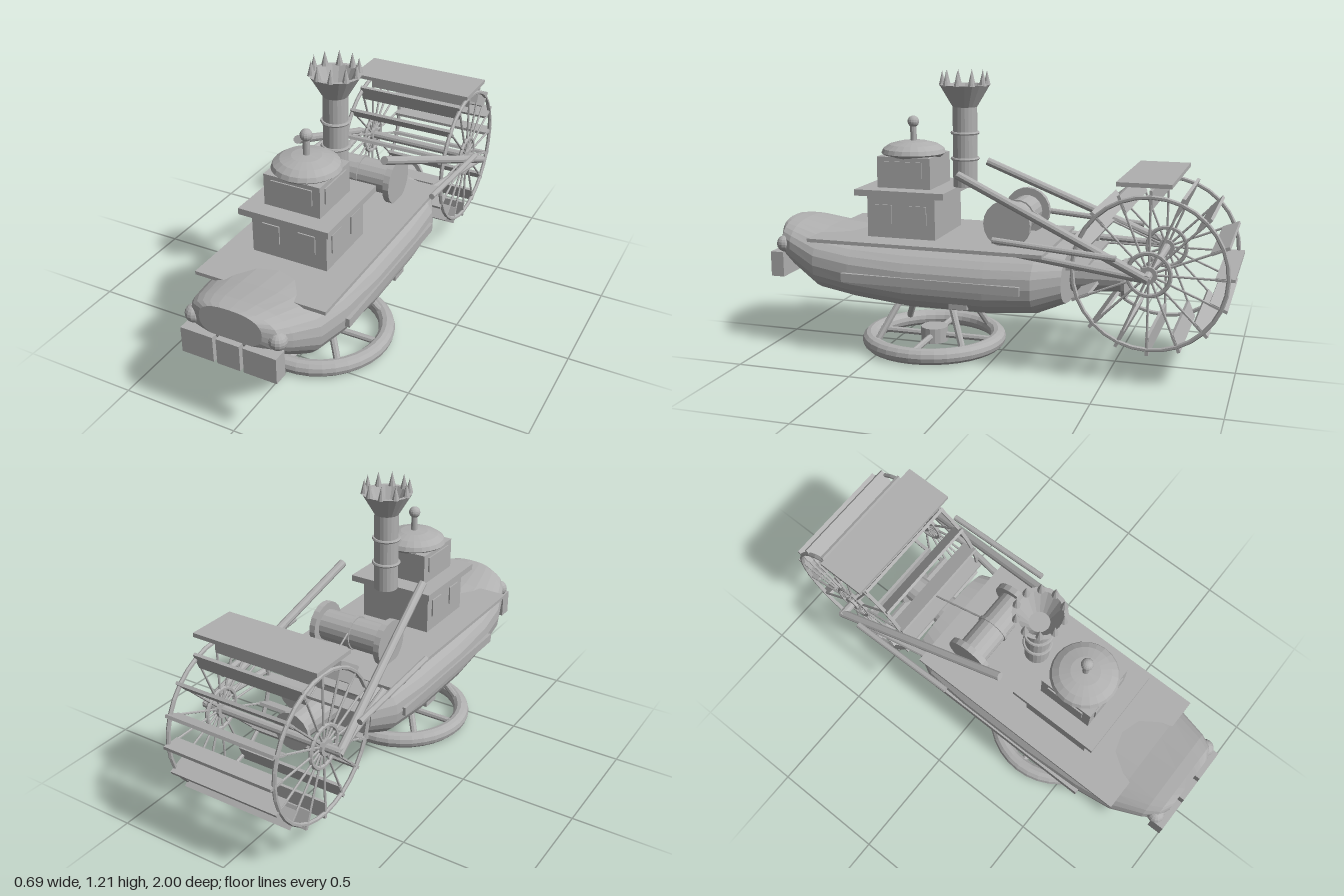
import * as THREE from 'three';

const grey = new THREE.MeshStandardMaterial({ color: 0xb0b0b0, flatShading: true, side: THREE.DoubleSide });
const V = (x, y, z) => new THREE.Vector3(x, y, z);

function add(parent, name, geo, x = 0, y = 0, z = 0) {
  const m = new THREE.Mesh(geo, grey);
  m.name = name;
  m.position.set(x, y, z);
  parent.add(m);
  return m;
}
// box given by its min/max corners
function box(parent, name, x0, x1, y0, y1, z0, z1) {
  return add(parent, name, new THREE.BoxGeometry(x1 - x0, y1 - y0, z1 - z0),
    (x0 + x1) / 2, (y0 + y1) / 2, (z0 + z1) / 2);
}
// round bar between two points
function rod(parent, name, a, b, r, sides = 8) {
  const d = b.clone().sub(a);
  const m = add(parent, name, new THREE.CylinderGeometry(r, r, d.length(), sides));
  m.position.copy(a).addScaledVector(d, 0.5);
  m.quaternion.setFromUnitVectors(V(0, 1, 0), d.normalize());
  return m;
}
const lathe = (pts, n = 20) => new THREE.LatheGeometry(pts.map(p => new THREE.Vector2(p[0], p[1])), n);

// hull skin lofted through superellipse sections: z, bottom, top, half width
function hullGeometry() {
  const sections = [
    [0.975, 0.41, 0.55, 0.135], [0.95, 0.37, 0.55, 0.19], [0.9, 0.335, 0.547, 0.22], [0.77, 0.25, 0.525, 0.265],
    [0.6, 0.225, 0.507, 0.285], [0.35, 0.2, 0.503, 0.295], [0, 0.2, 0.503, 0.295],
    [-0.2, 0.218, 0.503, 0.285], [-0.315, 0.265, 0.49, 0.23]];
  const n = 28, pos = [], idx = [];
  const pw = v => Math.sign(v) * Math.pow(Math.abs(v), 0.8);
  for (const [z, y0, y1, w] of sections)
    for (let j = 0; j < n; j++) {
      const a = j / n * Math.PI * 2;
      pos.push(w * pw(Math.cos(a)), (y0 + y1) / 2 + (y1 - y0) / 2 * pw(Math.sin(a)), z);
    }
  const last = sections.length - 1, front = pos.length / 3;
  for (const s of [sections[0], sections[last]]) pos.push(0, (s[1] + s[2]) / 2, s[0]);
  for (let j = 0; j < n; j++) {
    const k = (j + 1) % n;
    for (let i = 0; i < last; i++) {
      const a = i * n, b = a + n;
      idx.push(a + j, b + j, a + k, a + k, b + j, b + k);
    }
    idx.push(front, j, k, front + 1, last * n + k, last * n + j);
  }
  const g = new THREE.BufferGeometry();
  g.setAttribute('position', new THREE.Float32BufferAttribute(pos, 3));
  g.setIndex(idx);
  g.computeVertexNormals();
  return g;
}

function buildHull(root) {
  const g = new THREE.Group(); g.name = 'hullGroup'; root.add(g);
  add(g, 'hull', hullGeometry());
  box(g, 'deck', -0.285, 0.285, 0.495, 0.51, -0.25, 0.78);
  // tail tube and end flange
  rod(g, 'tailFlange', V(0, 0.365, -0.53), V(0, 0.365, -0.545), 0.085, 16);
  const tail = add(g, 'tailTube', new THREE.CylinderGeometry(0.075, 0.06, 0.25, 16), 0, 0.37, -0.42);
  tail.rotation.x = Math.PI / 2;
  // bow blocks, lamps and side rails
  box(g, 'bowBlock', -0.05, 0.05, 0.31, 0.42, 0.94, 1);
  for (const s of [-1, 1]) {
    add(g, 'bowBlock', new THREE.BoxGeometry(0.14, 0.11, 0.06), s * 0.135, 0.365, 0.97);
    add(g, 'bowLamp', new THREE.SphereGeometry(0.037, 14, 10), s * 0.18, 0.455, 0.94);
    add(g, 'sideRail', new THREE.BoxGeometry(0.04, 0.038, 0.78), s * 0.28, 0.355, 0.23);
    add(g, 'sideStep', new THREE.BoxGeometry(0.05, 0.035, 0.08), s * 0.245, 0.268, 0.11);
  }
}

function buildCabin(root) {
  const g = new THREE.Group(); g.name = 'cabin'; root.add(g);
  box(g, 'lowerCabin', -0.165, 0.165, 0.505, 0.69, 0.245, 0.55);
  box(g, 'cabinRoof', -0.197, 0.197, 0.69, 0.717, 0.195, 0.595);
  box(g, 'upperCabin', -0.123, 0.123, 0.717, 0.85, 0.28, 0.52);
  box(g, 'upperWindow', -0.09, 0.09, 0.765, 0.832, 0.52, 0.526);
  for (const s of [-1, 1]) {
    add(g, 'frontWindow', new THREE.BoxGeometry(0.075, 0.08, 0.008), s * 0.079, 0.612, 0.552);
    for (const z of [0.32, 0.475])
      add(g, 'sideWindow', new THREE.BoxGeometry(0.008, 0.08, 0.075), s * 0.167, 0.612, z);
    add(g, 'upperSideWindow', new THREE.BoxGeometry(0.008, 0.067, 0.17), s * 0.125, 0.798, 0.4);
  }
  // domed top with mast and ball
  add(g, 'dome', lathe([[0, 0.825], [0.07, 0.827], [0.12, 0.84], [0.14, 0.857], [0.132, 0.875],
    [0.105, 0.893], [0.06, 0.905], [0, 0.91]], 24), 0, 0, 0.4);
  rod(g, 'mast', V(0, 0.9, 0.4), V(0, 0.98, 0.4), 0.014, 12);
  add(g, 'mastBall', new THREE.SphereGeometry(0.025, 14, 10), 0, 0.99, 0.4);
}

function buildChimney(root) {
  const g = new THREE.Group(); g.name = 'chimney'; g.position.z = 0.165; root.add(g);
  add(g, 'chimneyPipe', lathe([[0, 0.72], [0.052, 0.72], [0.052, 1.06], [0.107, 1.153], [0.09, 1.153],
    [0.042, 1.06], [0, 1.06]]));
  for (const y of [0.84, 0.95])
    add(g, 'chimneyBand', new THREE.TorusGeometry(0.055, 0.007, 6, 20), 0, y).rotation.x = Math.PI / 2;
  for (let i = 0; i < 10; i++) {
    const a = i / 10 * Math.PI * 2;
    add(g, 'crownSpike', new THREE.ConeGeometry(0.016, 0.062, 8), 0.094 * Math.cos(a), 1.181, 0.094 * Math.sin(a));
  }
}

function buildWinch(root) {
  const g = new THREE.Group(); g.name = 'winch'; root.add(g);
  const y = 0.6, z = -0.07;
  rod(g, 'winchDrum', V(-0.16, y, z), V(0.16, y, z), 0.068, 18);
  for (const s of [-1, 1]) rod(g, 'winchFlange', V(s * 0.145, y, z), V(s * 0.172, y, z), 0.1, 20);
  rod(g, 'winchBand', V(-0.007, y, z), V(0.007, y, z), 0.074, 18);
  rod(g, 'winchCable', V(0, 0.66, -0.08), V(0, 0.46, -0.41), 0.004, 6);
}

function buildPaddleWheel(root) {
  const g = new THREE.Group(); g.name = 'paddleWheel'; g.position.set(0, 0.455, -0.67); root.add(g);
  const n = 16;
  rod(g, 'axle', V(-0.33, 0, 0), V(0.33, 0, 0), 0.018, 10);
  for (const s of [-1, 1]) {
    const x = s * 0.247;
    for (const [name, r, t] of [['wheelRim', 0.306, 0.009], ['hubRing', 0.085, 0.009]])
      add(g, name, new THREE.TorusGeometry(r, t, 6, 32), x).rotation.y = Math.PI / 2;
    rod(g, 'hub', V(x - 0.015, 0, 0), V(x + 0.015, 0, 0), 0.035, 12);
    for (let i = 0; i < n; i++) {
      const a = i / n * Math.PI * 2;
      rod(g, 'spoke', V(x, 0, 0), V(x, 0.306 * Math.cos(a), 0.306 * Math.sin(a)), 0.005, 6);
    }
  }
  for (let i = 0; i < n; i++) {
    const a = i / n * Math.PI * 2;
    add(g, 'paddle', new THREE.BoxGeometry(0.5, 0.075, 0.013), 0, 0.293 * Math.cos(a), 0.293 * Math.sin(a)).rotation.x = a;
  }
  // cover board above the wheel
  box(root, 'wheelCover', -0.285, 0.285, 0.803, 0.82, -0.755, -0.54);
  // support and drive bars on both sides
  for (const s of [-1, 1]) {
    rod(root, 'longSupport', V(s * 0.2, 0.8, 0.13), V(s * 0.32, 0.45, -0.68), 0.018, 10);
    rod(root, 'lowerSupport', V(s * 0.225, 0.495, -0.12), V(s * 0.315, 0.45, -0.68), 0.015, 10);
    rod(root, 'driveBar', V(s * 0.332, 0.57, -0.06), V(s * 0.332, 0.53, -0.555), 0.013, 10);
  }
}

function buildStand(root) {
  const g = new THREE.Group(); g.name = 'stand'; g.position.z = 0.315; root.add(g);
  add(g, 'standRing', new THREE.TorusGeometry(0.283, 0.035, 12, 36), 0, 0.035, 0).rotation.x = Math.PI / 2;
  rod(g, 'standHub', V(0, 0.015, 0), V(0, 0.082, 0), 0.06, 16);
  for (let i = 0; i < 4; i++) {
    const a = i * Math.PI / 2;
    rod(g, 'standSpoke', V(0, 0.045, 0), V(0.28 * Math.cos(a), 0.045, 0.28 * Math.sin(a)), 0.014);
  }
  for (const sx of [-1, 1])
    for (const sz of [-1, 1])
      rod(g, 'standLeg', V(sx * 0.185, 0.05, sz * 0.195), V(sx * 0.1, 0.225, sz * 0.115), 0.015);
}

export function createModel() {
  const root = new THREE.Group();
  root.name = 'paddleBoat';
  buildHull(root);
  buildCabin(root);
  buildChimney(root);
  buildWinch(root);
  buildPaddleWheel(root);
  buildStand(root);
  return root;
}
